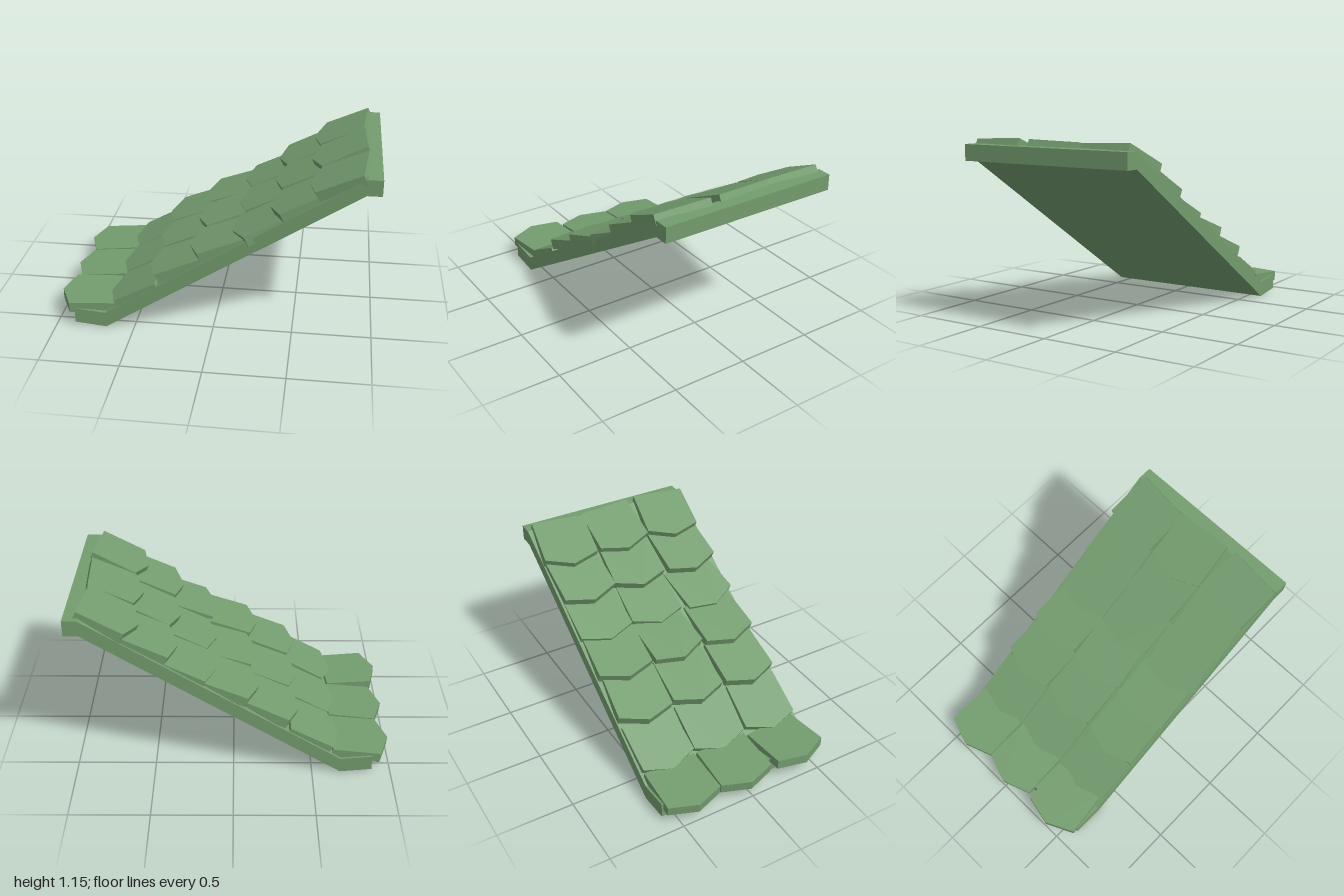
import * as THREE from 'three';

const material = new THREE.MeshStandardMaterial({ color: 0x739c6e, flatShading: true });

function shapeFrom(points) {
  return new THREE.Shape(points.map(([x, y]) => new THREE.Vector2(x, y)));
}

// Sloping slab with a level lip at the eave and at the ridge
function makeSlab() {
  const profile = [
    [-0.88, 0.02], [-0.68, 0], [0.91, 1.01], [1, 1.01],
    [1, 1.11], [0.91, 1.11], [-0.68, 0.1], [-0.88, 0.12],
  ];
  const geometry = new THREE.ExtrudeGeometry(shapeFrom(profile), { depth: 1.165, bevelEnabled: false });
  geometry.translate(0, 0, -0.585);
  const slab = new THREE.Mesh(geometry, material);
  slab.name = 'roofSlab';
  return slab;
}

// Pointed shingle: tip towards -x, top face on y = 0, pivot in its middle
const HALF = 0.185;
function makeShingleGeometry() {
  const outline = [
    [-HALF, 0], [-HALF + 0.065, -0.185], [HALF, -0.18],
    [HALF, 0.18], [-HALF + 0.065, 0.185],
  ];
  const geometry = new THREE.ExtrudeGeometry(shapeFrom(outline), { depth: 0.065, bevelEnabled: false });
  return geometry.rotateX(Math.PI / 2);
}

export function createModel() {
  const model = new THREE.Group();
  model.name = 'shingledRoofSection';
  model.add(makeSlab());

  // Rows from eave to ridge: tip position, pitch, and the yaw of the three shingles
  const rows = [
    { x: -1.0, y: 0.125, pitch: 0.1, yaws: [0, 0, 0.11] },
    { x: -0.68, y: 0.155, pitch: 0.5, yaws: [0.03, 0, -0.03] },
    { x: -0.42, y: 0.37, pitch: 0.4, yaws: [-0.08, 0, 0.02] },
    { x: -0.16, y: 0.535, pitch: 0.36, yaws: [-0.05, 0.1, 0.06] },
    { x: 0.11, y: 0.655, pitch: 0.45, yaws: [0, -0.02, 0.18] },
    { x: 0.34, y: 0.825, pitch: 0.46, yaws: [0.04, -0.03, 0.07] },
    { x: 0.57, y: 0.985, pitch: 0.45, yaws: [-0.1, 0.05, -0.1] },
  ];
  const columns = [-0.388, -0.01, 0.385];
  const geometry = makeShingleGeometry();

  rows.forEach((row, r) => {
    const group = new THREE.Group();
    group.name = `shingleRow${r + 1}`;
    columns.forEach((z, c) => {
      // The front eave shingle lies level
      const level = r === 0 && c === 2;
      const pitch = level ? 0 : row.pitch;
      const tipY = level ? 0.155 : row.y;
      const shingle = new THREE.Mesh(geometry, material);
      shingle.name = `shingle${r + 1}_${c + 1}`;
      shingle.position.set(row.x + HALF * Math.cos(pitch), tipY + HALF * Math.sin(pitch), z);
      shingle.rotation.set(0, row.yaws[c], pitch, 'ZYX');
      group.add(shingle);
    });
    model.add(group);
  });
  return model;
}
